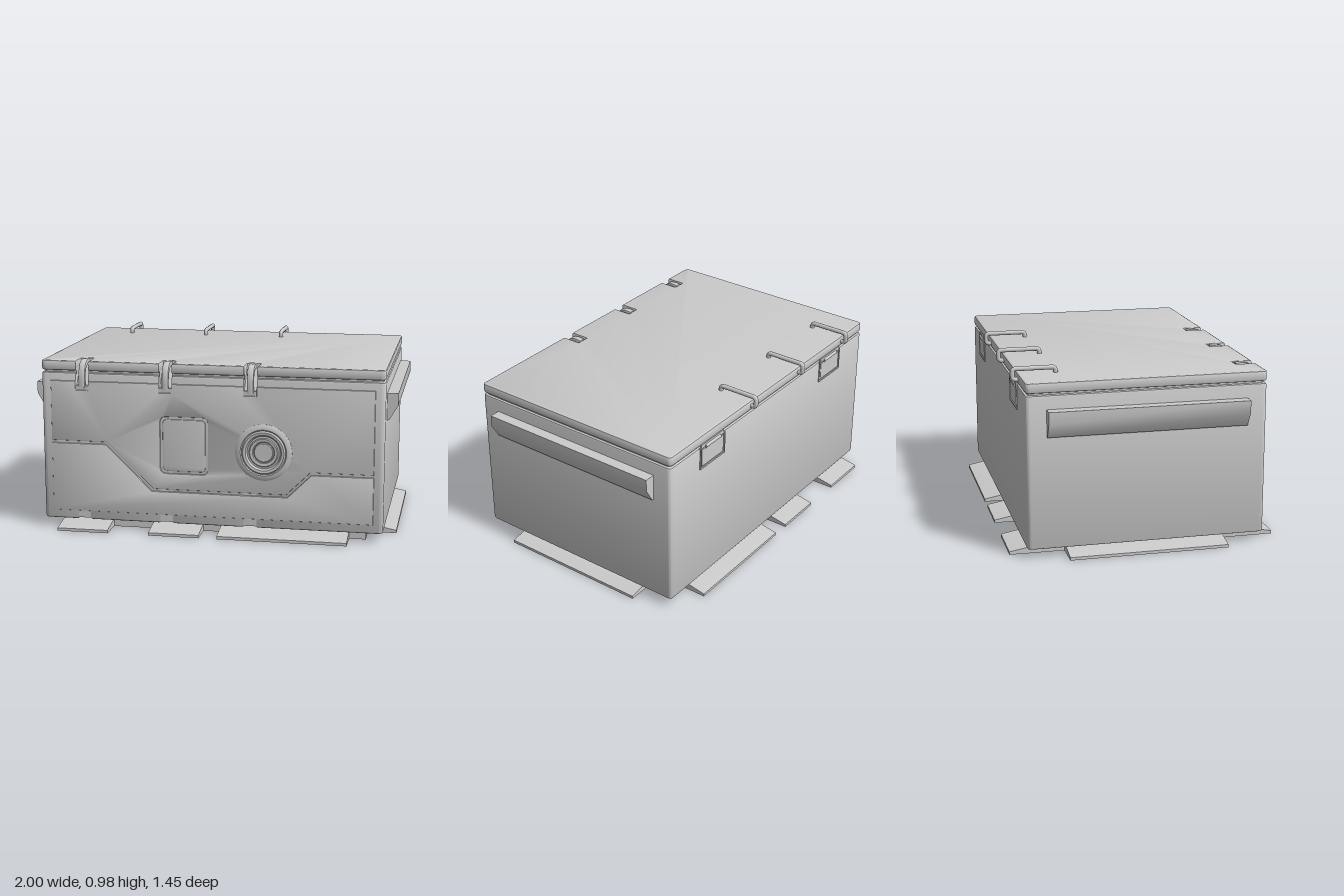
import * as THREE from 'three';
import { toCreasedNormals } from 'three/addons/utils/BufferGeometryUtils.js';

const MAT = new THREE.MeshStandardMaterial({ color: 0xcccccc });
const HX = 0.94, HZ = 0.643;
const LATCH_X = [-0.71, -0.245, 0.22];
const NOTCH = 0.035, NOTCH_Z = 0.535, NOTCH_Y = 0.78;

const v2 = (p) => new THREE.Vector2(p[0], p[1]);
const polygon = (pts) => new THREE.Shape(pts.map(v2));

function add(parent, name, geo, x = 0, y = 0, z = 0) {
  const mesh = new THREE.Mesh(geo, MAT);
  mesh.name = name;
  mesh.position.set(x, y, z);
  parent.add(mesh);
  return mesh;
}

// Extrusion whose outline keeps its full size in spite of the bevel
function extrude(shape, depth, bevel, segments = 2) {
  const geo = new THREE.ExtrudeGeometry(shape, {
    depth: depth - 2 * bevel, curveSegments: 6, bevelEnabled: bevel > 0,
    bevelThickness: bevel, bevelSize: bevel, bevelOffset: -bevel, bevelSegments: segments,
  });
  geo.translate(0, 0, bevel);
  return toCreasedNormals(geo, 0.6);
}

// Profile in (z, y) swept along x, centred
function prism(pts, width, bevel = 0) {
  return extrude(polygon(pts), width, bevel).translate(0, 0, -width / 2).rotateY(-Math.PI / 2);
}

function roundedRect(x0, y0, x1, y1, r, Type = THREE.Shape) {
  const s = new Type();
  s.moveTo(x0 + r, y0);
  s.lineTo(x1 - r, y0); s.quadraticCurveTo(x1, y0, x1, y0 + r);
  s.lineTo(x1, y1 - r); s.quadraticCurveTo(x1, y1, x1 - r, y1);
  s.lineTo(x0 + r, y1); s.quadraticCurveTo(x0, y1, x0, y1 - r);
  s.lineTo(x0, y0 + r); s.quadraticCurveTo(x0, y0, x0 + r, y0);
  return s;
}

// Plan outline of the box with latch notches cut in the front edge
function plan(inset) {
  const x = HX - inset, z = HZ - inset, r = 0.025;
  const s = new THREE.Shape();
  s.moveTo(-x + r, -z);
  s.lineTo(x - r, -z); s.quadraticCurveTo(x, -z, x, -z + r);
  s.lineTo(x, z - r); s.quadraticCurveTo(x, z, x - r, z);
  for (const c of [...LATCH_X].reverse()) {
    s.lineTo(c + NOTCH, z); s.lineTo(c + NOTCH, NOTCH_Z);
    s.lineTo(c - NOTCH, NOTCH_Z); s.lineTo(c - NOTCH, z);
  }
  s.lineTo(-x + r, z); s.quadraticCurveTo(-x, z, -x, z - r);
  s.lineTo(-x, -z + r); s.quadraticCurveTo(-x, -z, -x + r, -z);
  return s;
}

const slab = (inset, y0, y1, bevel) =>
  extrude(plan(inset), y1 - y0, bevel).rotateX(Math.PI / 2).translate(0, y1, 0);

function createLatch() {
  const g = new THREE.Group();
  g.name = 'latch';
  // Filling below the notch, with a sloping floor
  add(g, 'latchSeat', prism([[0.5, 0.06], [HZ, 0.06], [HZ, NOTCH_Y], [NOTCH_Z, 0.925], [0.5, 0.925]], 2 * NOTCH));
  // Curved strap over the lid edge
  const outer = new THREE.CubicBezierCurve(v2([0.538, 0.938]), v2([0.62, 0.955]), v2([0.66, 0.92]), v2([0.652, 0.795]));
  const inner = new THREE.CubicBezierCurve(v2([0.635, 0.79]), v2([0.635, 0.89]), v2([0.61, 0.925]), v2([0.538, 0.91]));
  const pts = [...outer.getPoints(10), ...inner.getPoints(10)].map((p) => [p.x, p.y]);
  add(g, 'latchStrap', prism(pts, 0.036, 0.005));
  add(g, 'latchCatch', new THREE.BoxGeometry(2 * NOTCH, 0.025, 0.02), 0, 0.793, 0.638);
  return g;
}

function createHinge() {
  const g = new THREE.Group();
  g.name = 'hinge';
  add(g, 'hingePlate', new THREE.BoxGeometry(0.19, 0.1, 0.008), 0, 0.81, -HZ);
  // Thin surround on three sides
  for (const s of [-1, 1]) add(g, 'hingeSurround', new THREE.BoxGeometry(0.008, 0.13, 0.012), s * 0.106, 0.81, -HZ);
  add(g, 'hingeSurround', new THREE.BoxGeometry(0.22, 0.008, 0.012), 0, 0.749, -HZ);
  add(g, 'hingeKnuckle', new THREE.CylinderGeometry(0.012, 0.012, 0.13, 12).rotateZ(Math.PI / 2), 0, 0.868, -HZ);
  add(g, 'hingeLeaf', new THREE.BoxGeometry(0.2, 0.022, 0.01), 0, 0.879, -HZ + 0.001);
  return g;
}

// Path of a lid hook: straight runs with rounded corners
function hookGeometry() {
  const pts = [[0.925, -0.443], [0.967, -0.443], [0.967, -0.671], [0.91, -0.671], [0.91, -0.635]]
    .map(([y, z]) => new THREE.Vector3(0, y, z));
  const path = new THREE.CurvePath();
  let from = pts[0];
  for (let i = 1; i < pts.length - 1; i++) {
    const a = pts[i].clone().add(pts[i - 1].clone().sub(pts[i]).setLength(0.02));
    const b = pts[i].clone().add(pts[i + 1].clone().sub(pts[i]).setLength(0.02));
    path.add(new THREE.LineCurve3(from, a));
    path.add(new THREE.QuadraticBezierCurve3(a, pts[i], b));
    from = b;
  }
  path.add(new THREE.LineCurve3(from, pts[pts.length - 1]));
  return new THREE.TubeGeometry(path, 90, 0.0125, 10);
}

export function createModel() {
  const model = new THREE.Group();
  model.name = 'storageCase';

  // Shell
  add(model, 'body', slab(0, 0.05, 0.875, 0.012));
  add(model, 'seam', slab(0.014, 0.86, 0.9, 0));
  add(model, 'lid', slab(0, 0.885, 0.94, 0.01));

  // Front panels, divided by a stepped groove
  const top = LATCH_X.flatMap((c) =>
    [[c - NOTCH, 0.83], [c - NOTCH, NOTCH_Y], [c + NOTCH, NOTCH_Y], [c + NOTCH, 0.83]]);
  const upper = polygon([[-0.887, 0.83], ...top, [0.887, 0.83], [0.887, 0.374], [0.548, 0.374],
    [0.418, 0.245], [-0.318, 0.245], [-0.575, 0.496], [-0.887, 0.496]]);
  upper.holes.push(roundedRect(-0.275, 0.335, -0.01, 0.65, 0.035, THREE.Path));
  const lower = polygon([[-0.887, 0.482], [-0.581, 0.482], [-0.324, 0.231], [0.424, 0.231],
    [0.554, 0.36], [0.887, 0.36], [0.887, 0.1], [-0.887, 0.1]]);
  add(model, 'upperPanel', extrude(upper, 0.02, 0.005), 0, 0, 0.632);
  add(model, 'lowerPanel', extrude(lower, 0.02, 0.005), 0, 0, 0.632);
  add(model, 'windowPane', extrude(roundedRect(-0.261, 0.349, -0.024, 0.636, 0.028), 0.02, 0.004), 0, 0, 0.63);

  // Round dial with concentric rings
  const dial = [[0, 0.006], [0.05, 0.006], [0.055, 0.001], [0.06, 0.006], [0.075, 0.008], [0.08, 0.001],
    [0.09, 0.002], [0.098, 0.014], [0.112, 0.016], [0.12, 0.009], [0.126, 0.013], [0.142, 0.012],
    [0.155, 0.004], [0.155, -0.012]].reverse();
  const dialGeo = new THREE.LatheGeometry(dial.map(v2), 48).rotateX(Math.PI / 2);
  add(model, 'dial', toCreasedNormals(dialGeo, 0.5), 0.295, 0.475, 0.65);

  // Latches and hooks
  const hook = hookGeometry();
  for (const x of LATCH_X) {
    const latch = createLatch();
    latch.position.x = x;
    model.add(latch);
    add(model, 'lidHook', hook, x);
  }

  // Hinges and side handles
  for (const s of [-1, 1]) {
    const hinge = createHinge();
    hinge.position.x = s * 0.58;
    model.add(hinge);
    const handle = prism([[0.93, 0.65], [0.952, 0.655], [1, 0.735], [1, 0.8], [0.93, 0.8]], 1.07);
    add(model, s > 0 ? 'leftHandle' : 'rightHandle', handle).rotation.y = s * Math.PI / 2;
  }

  // Base plate with sloping flaps
  add(model, 'basePlate', new THREE.BoxGeometry(1.69, 0.055, 1.16), 0, 0.0275, 0);
  const flap = (inner, width) => prism([[inner - 0.01, 0], [inner + 0.147, 0], [inner + 0.147, 0.016],
    [inner, 0.043], [inner - 0.01, 0.043]], width);
  for (const s of [-1, 1]) {
    for (const [a, b] of [[-0.845, -0.56], [-0.33, -0.05], [0.05, 0.755]]) {
      const f = add(model, s > 0 ? 'frontFlap' : 'backFlap', flap(0.578, b - a), (a + b) / 2);
      if (s < 0) f.rotation.y = Math.PI;
    }
    add(model, 'sideFlap', flap(0.853, 0.86)).rotation.y = s * Math.PI / 2;
  }
  return model;
}
